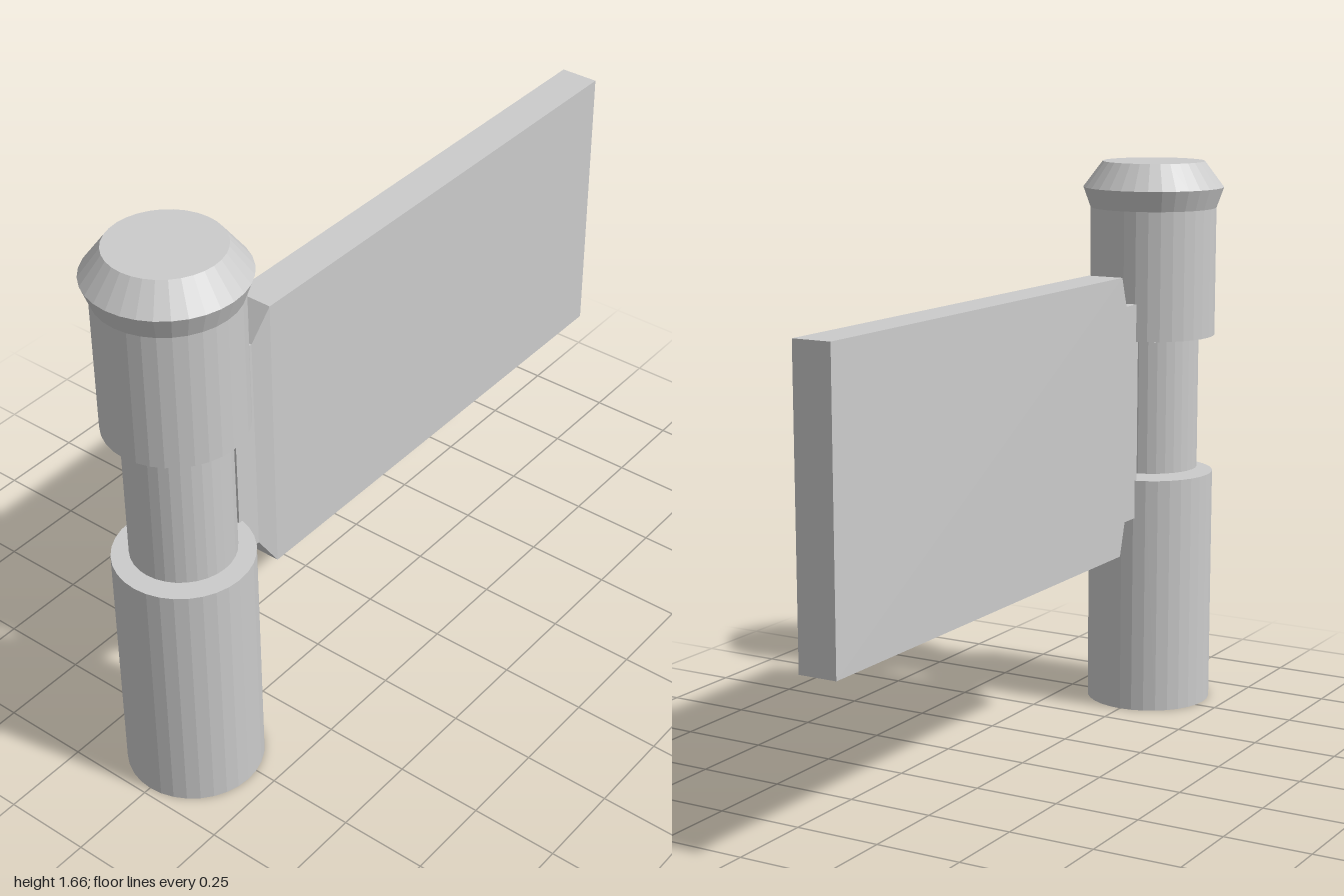
import * as THREE from 'three';

const material = new THREE.MeshStandardMaterial({ color: 0xcccccc, flatShading: true });
const AXIS_X = -0.788;

// Closed round part on the hinge axis, from [radius, y] pairs going up
function turned(name, profile) {
  const points = profile.map(([r, y]) => new THREE.Vector2(r, y));
  const mesh = new THREE.Mesh(new THREE.LatheGeometry(points, 32), material);
  mesh.name = name;
  mesh.position.x = AXIS_X;
  return mesh;
}

// Plate lofted through rectangular sections: [x, half height, half thickness]
function plate(name, sections, centreY) {
  const spans = sections.length - 1;
  const geometry = new THREE.BoxGeometry(1, 2, 2, spans, 1, 1);
  const pos = geometry.attributes.position;
  for (let i = 0; i < pos.count; i++) {
    const [x, h, t] = sections[Math.round((pos.getX(i) + 0.5) * spans)];
    pos.setXYZ(i, x, pos.getY(i) * h, pos.getZ(i) * t);
  }
  geometry.computeVertexNormals();
  const mesh = new THREE.Mesh(geometry, material);
  mesh.name = name;
  mesh.position.y = centreY;
  return mesh;
}

export function createModel() {
  const model = new THREE.Group();
  model.name = 'hinge';

  // Barrel: lower sleeve, bare pin, upper sleeve with flared and bevelled cap
  model.add(turned('lowerSleeve', [[0, 0], [0.19, 0], [0.19, 0.72], [0, 0.72]]));
  model.add(turned('pin', [[0, 0.733], [0.142, 0.733], [0.142, 1.135], [0, 1.135]]));
  model.add(turned('upperSleeve', [
    [0, 1.142], [0.19, 1.142], [0.19, 1.527], [0.212, 1.588], [0.154, 1.665], [0, 1.665],
  ]));

  // Leaf with a narrower, thinner neck where it meets the barrel
  model.add(plate('leaf', [
    [-0.615, 0.325, 0.041], [-0.54, 0.325, 0.041], [-0.483, 0.417, 0.056], [1, 0.417, 0.056],
  ], 0.929));

  return model;
}
